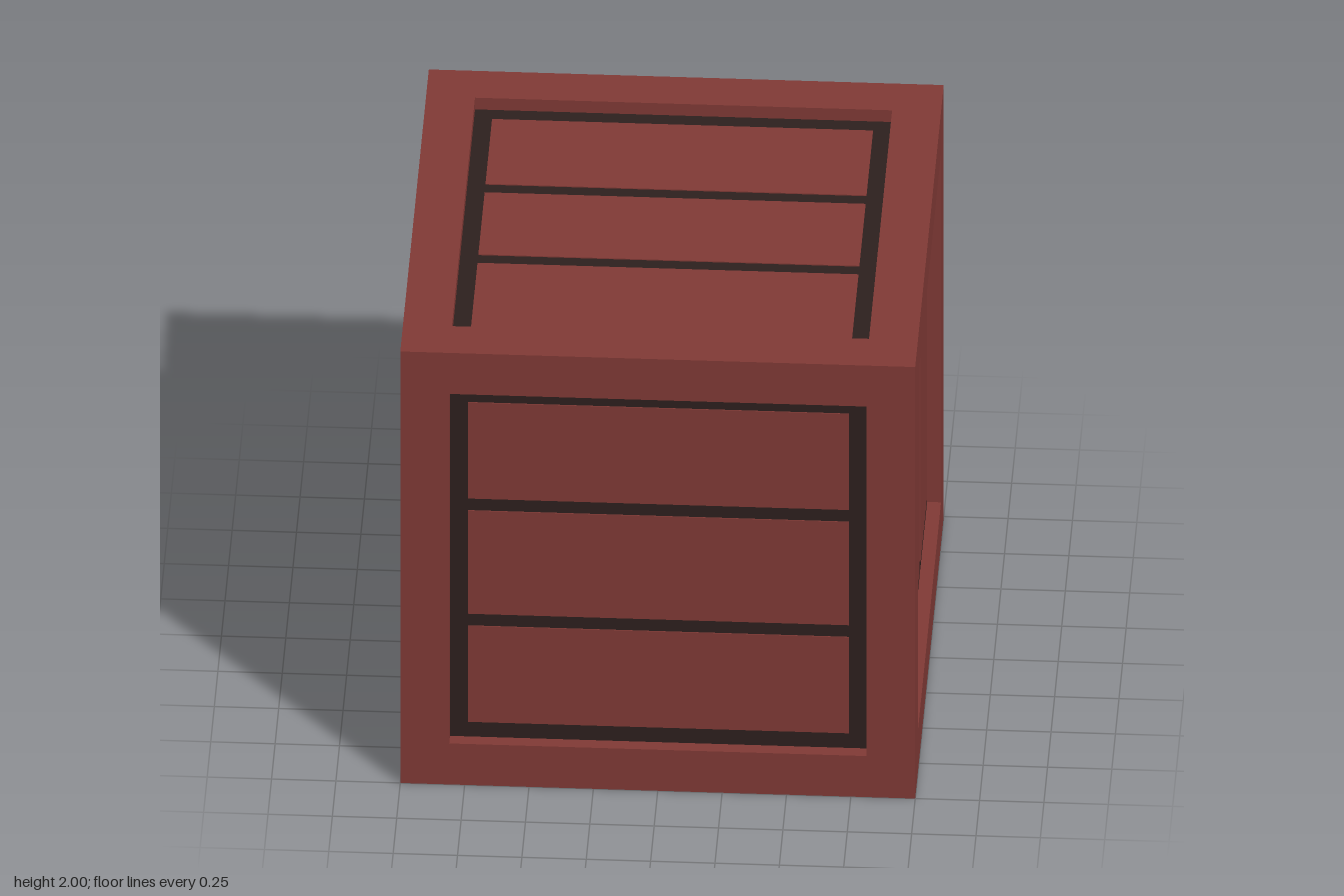
import * as THREE from 'three';

const red = new THREE.MeshStandardMaterial({ color: 0x823a36 });
const dark = new THREE.MeshStandardMaterial({ color: 0x2d201e });

const BEAM = 0.19;          // square section of the frame beams
const INNER = 1 - BEAM;     // half width of each opening
const CORE = 0.946;         // half size of the dark body behind the planks
const FACE = 0.95;          // distance of the plank faces from the centre

function box(parent, name, size, position, material) {
  const mesh = new THREE.Mesh(new THREE.BoxGeometry(...size), material);
  mesh.name = name;
  mesh.position.set(...position);
  parent.add(mesh);
}

// Three planks lying along x on a panel that faces +z
function plankPanel(name, gapCentre, gapHalf) {
  const panel = new THREE.Group();
  panel.name = name;
  const edge = 0.74;
  const rows = [
    [-edge, -gapCentre - gapHalf],
    [-gapCentre + gapHalf, gapCentre - gapHalf],
    [gapCentre + gapHalf, edge],
  ];
  for (const [low, high] of rows) {
    box(panel, 'plank', [2 * edge, high - low, 0.03], [0, (low + high) / 2, FACE - 0.015], red);
  }
  return panel;
}

export function createModel() {
  const crate = new THREE.Group();
  crate.name = 'crate';
  const body = new THREE.Group();
  body.position.y = 1;
  crate.add(body);

  // Frame: four full-height posts, with rails fitted between them
  const c = 1 - BEAM / 2;
  for (const a of [-c, c]) {
    for (const b of [-c, c]) {
      box(body, 'cornerPost', [BEAM, 2, BEAM], [a, 0, b], red);
      box(body, 'crossRail', [2 * INNER, BEAM, BEAM], [0, a, b], red);
      box(body, 'sideRail', [BEAM, BEAM, 2 * INNER], [a, b, 0], red);
    }
  }

  // Dark body seen in the gaps, one slab per axis so it stays inside the frame
  const w = 2 * INNER, d = 2 * CORE;
  box(body, 'innerBodyDepth', [w, w, d], [0, 0, 0], dark);
  box(body, 'innerBodyWidth', [d, w, w], [0, 0, 0], dark);
  box(body, 'innerBodyHeight', [w, d, w], [0, 0, 0], dark);

  // Planks: across on front, back, top and bottom; upright on the sides
  const q = Math.PI / 2;
  const panels = [
    ['frontPanel', 0.267, 0.028, [0, 0, 0]],
    ['backPanel', 0.267, 0.028, [0, 2 * q, 0]],
    ['topPanel', 0.25, 0.03, [-q, 0, 0]],
    ['bottomPanel', 0.25, 0.03, [q, 0, 0]],
    ['leftPanel', 0.25, 0.03, [0, q, q]],
    ['rightPanel', 0.25, 0.03, [0, -q, q]],
  ];
  for (const [name, gapCentre, gapHalf, turn] of panels) {
    const panel = plankPanel(name, gapCentre, gapHalf);
    panel.rotation.set(...turn);
    body.add(panel);
  }
  return crate;
}
